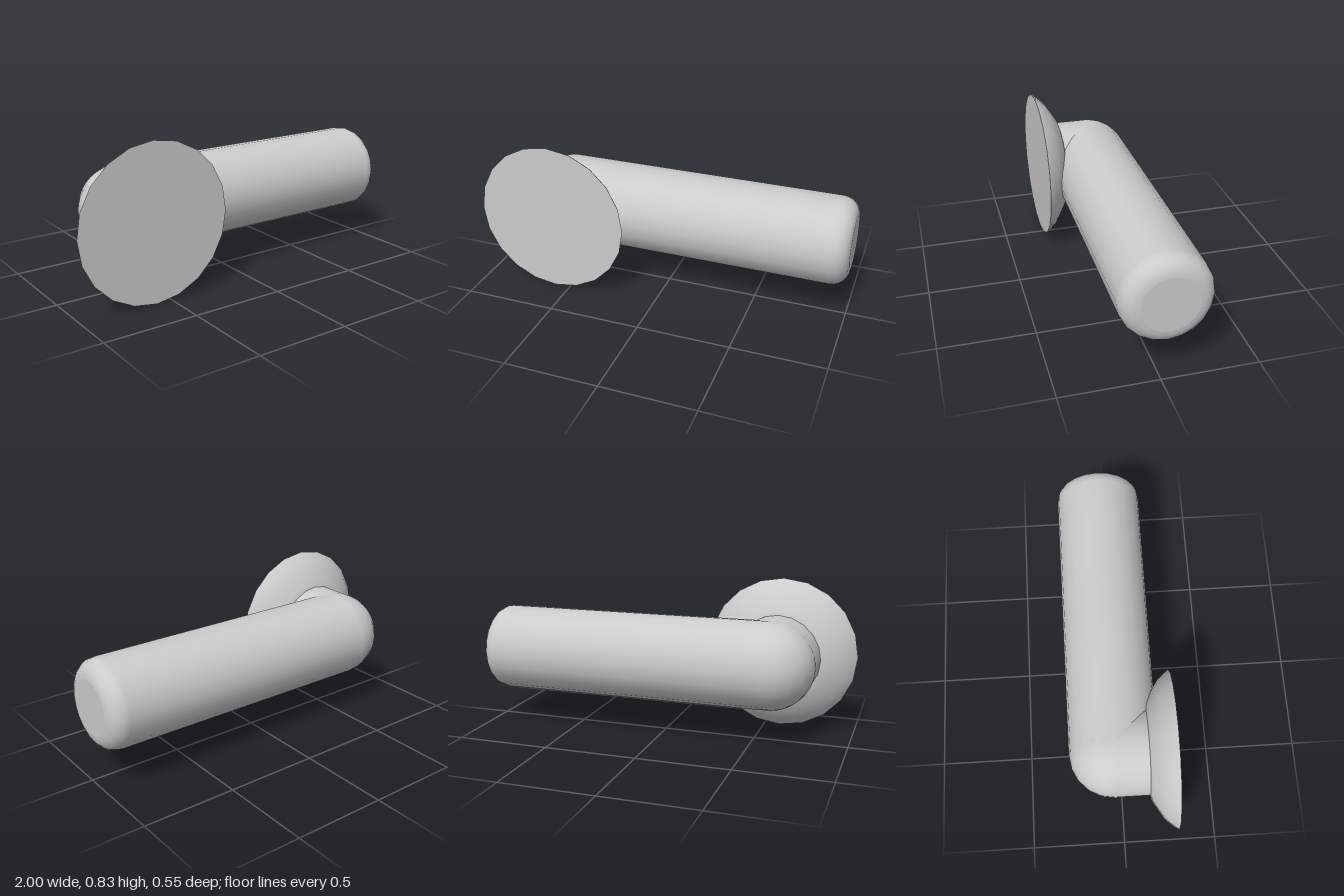
import * as THREE from 'three';

const SIDES = 20;
const R = 0.235;
const material = new THREE.MeshStandardMaterial({ color: 0xcccccc });

// Turned shape whose axis runs along y, from [radius, height] pairs
const turned = (pairs) =>
  new THREE.LatheGeometry(pairs.map(([r, h]) => new THREE.Vector2(r, h)), SIDES);

export function createModel() {
  const group = new THREE.Group();
  const add = (name, geometry, x = 0, z = 0) => {
    const mesh = new THREE.Mesh(geometry, material);
    mesh.name = name;
    mesh.position.set(x, 0, z);
    group.add(mesh);
  };

  // Long handle along x with a rounded outer edge, measured from the elbow centre
  const length = 1.585, round = 0.09;
  const profile = [[R, 0]];
  for (let i = 0; i <= 6; i++) {
    const a = (i / 6) * Math.PI / 2;
    profile.push([R - round + round * Math.cos(a), length - round + round * Math.sin(a)]);
  }
  add('handle', turned(profile).rotateZ(-Math.PI / 2));
  add('handleEnd', new THREE.CircleGeometry(R - round, SIDES).rotateY(Math.PI / 2), length);

  // Round elbow where the handle meets the neck
  add('elbow', new THREE.SphereGeometry(R, SIDES, SIDES));

  // Short neck along z
  add('neck', turned([[R, 0], [R, 0.18]]).rotateX(Math.PI / 2));

  // Flared mounting flange with a flat face
  add('flange', turned([
    [R, 0.178], [0.262, 0.185], [0.315, 0.217], [0.367, 0.25], [0.41, 0.3], [0.417, 0.312],
  ]).rotateX(Math.PI / 2));
  add('flangeFace', new THREE.CircleGeometry(0.417, SIDES), 0, 0.312);

  group.position.set(-0.585, 0.419, -0.037);
  const model = new THREE.Group();
  model.name = 'doorHandle';
  model.add(group);
  return model;
}
